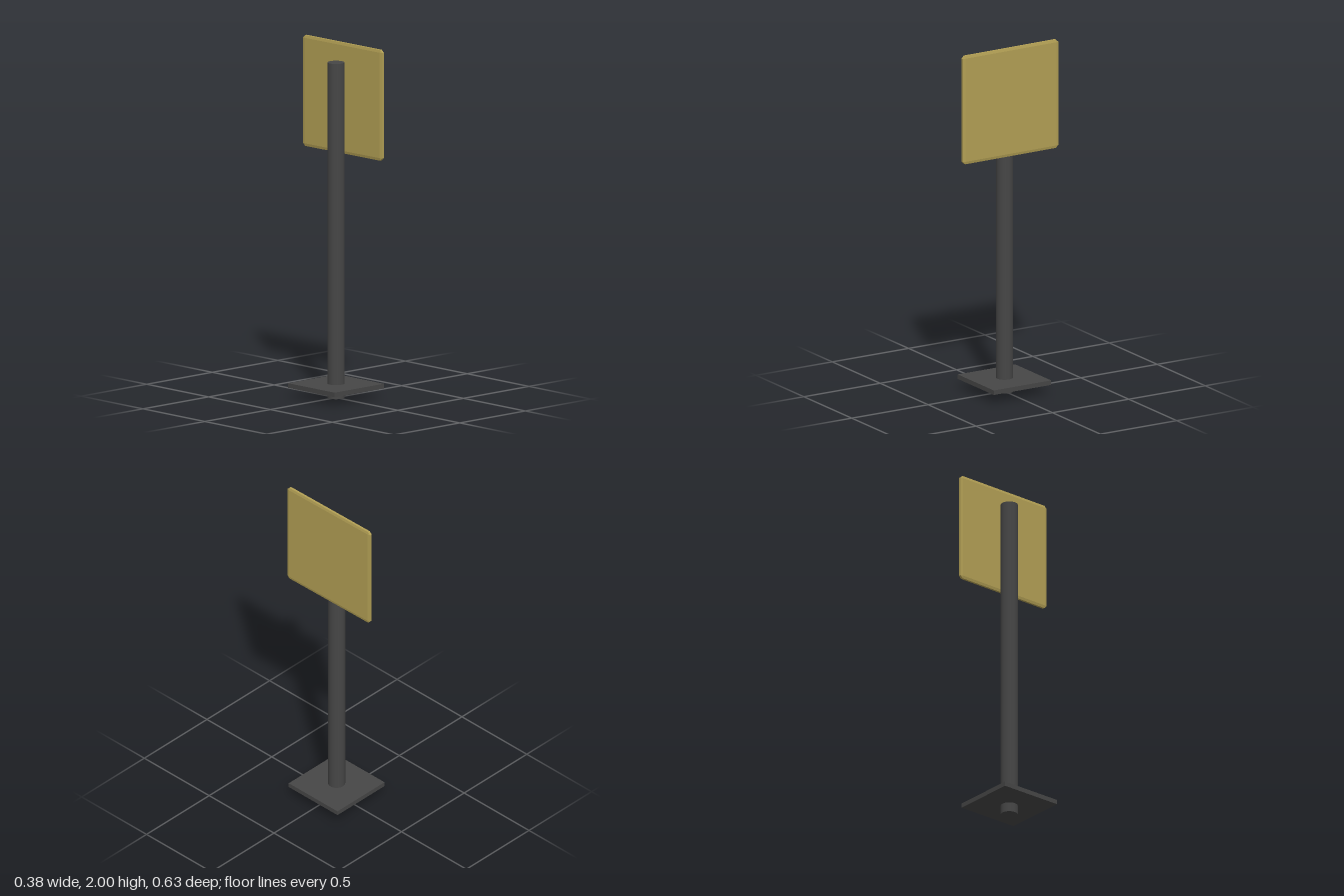
import * as THREE from 'three';
import { ConvexGeometry } from 'three/addons/geometries/ConvexGeometry.js';

// Box with every edge cut by a single flat chamfer; h = half sizes, b = cut per axis
function chamferedBox(h, b) {
  const points = [];
  for (const sx of [-1, 1]) for (const sy of [-1, 1]) for (const sz of [-1, 1]) {
    const s = [sx, sy, sz];
    for (let face = 0; face < 3; face++) {
      points.push(new THREE.Vector3(...s.map((v, i) => v * (i === face ? h[i] : h[i] - b[i]))));
    }
  }
  return new ConvexGeometry(points);
}

export function createModel() {
  const model = new THREE.Group();
  model.name = 'signPost';

  const darkGrey = new THREE.MeshStandardMaterial({ color: 0x464646 });
  darkGrey.name = 'dark grey';
  const gold = new THREE.MeshStandardMaterial({ color: 0xb29f54 });
  gold.name = 'dull gold';

  const add = (name, geometry, material, x, y, z) => {
    const mesh = new THREE.Mesh(geometry, material);
    mesh.name = name;
    mesh.position.set(x, y, z);
    model.add(mesh);
    return mesh;
  };

  // Round post, passing just below the base plate
  add('post', new THREE.CylinderGeometry(0.048, 0.048, 1.895, 32), darkGrey, 0, 0.9475, 0);

  // Square base plate
  add('basePlate', new THREE.BoxGeometry(0.376, 0.026, 0.376), darkGrey, 0, 0.067, 0);

  // Chamfered sign panel, turned very slightly about the vertical
  const panel = add('signPanel',
    chamferedBox([0.01, 0.313, 0.315], [0.0035, 0.015, 0.015]), gold, 0.0565, 1.687, 0);
  panel.rotation.y = 0.013;

  return model;
}
